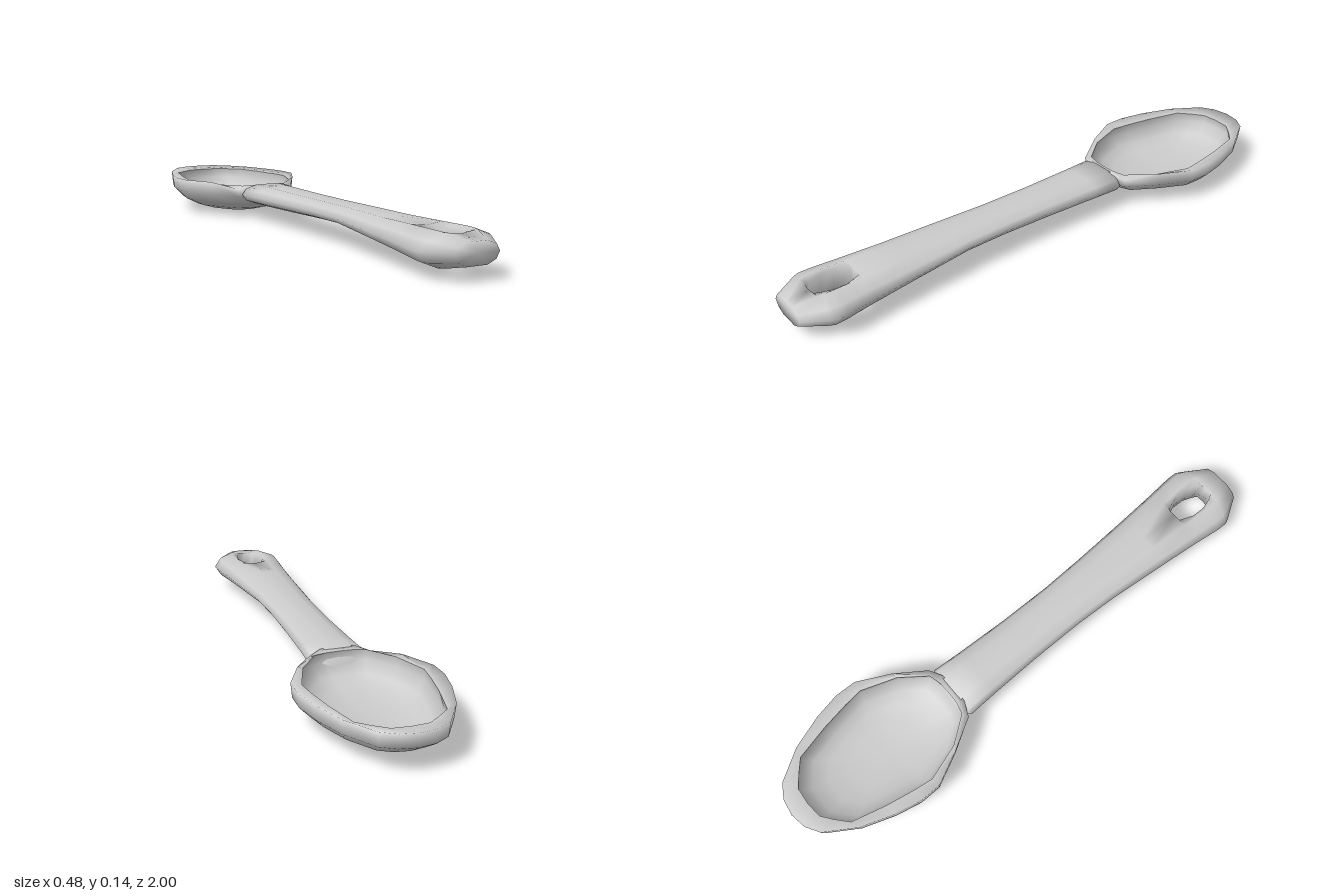
import * as THREE from 'three';
import { toCreasedNormals } from 'three/addons/utils/BufferGeometryUtils.js';

const material = new THREE.MeshStandardMaterial({ color: 0xcccccc });

// Skins series of closed rings as one smooth surface, leaving out faces
// of no area and faces hidden inside on the centre plane.
function loft(series, crease) {
  const out = [];
  const tri = (...p) => {
    const n = p[1].clone().sub(p[0]).cross(p[2].clone().sub(p[0]));
    if (n.length() < 1e-8 || p.every((v) => Math.abs(v.x) < 1e-6)) return;
    for (const v of p) out.push(v.x, v.y, v.z);
  };
  for (const rings of series) {
    for (let i = 0; i < rings.length - 1; i++) {
      const r = rings[i], s = rings[i + 1], n = r.length;
      for (let j = 0; j < n; j++) {
        const k = (j + 1) % n;
        tri(r[j], s[j], s[k]);
        tri(r[j], s[k], r[k]);
      }
    }
  }
  const g = new THREE.BufferGeometry();
  g.setAttribute('position', new THREE.Float32BufferAttribute(out, 3));
  return toCreasedNormals(g, crease);
}

function addMesh(group, name, geometry) {
  const mesh = new THREE.Mesh(geometry, material);
  mesh.name = name;
  group.add(mesh);
}

// Half outlines of the bowl from tip to neck: x, z, and how far the rim drops.
const outer = [[0, -1, 0], [0.06, -0.99, 0], [0.11, -0.96, 0], [0.18, -0.85, 0], [0.222, -0.73, 0],
  [0.242, -0.635, 0], [0.24, -0.555, 0], [0.18, -0.435, 0], [0.112, -0.325, 0.02],
  [0.06, -0.302, 0.003], [0, -0.3, 0.003]];
const inner = [[0, -0.935, 0], [0.06, -0.93, 0], [0.1, -0.9, 0], [0.145, -0.86, 0], [0.178, -0.73, 0],
  [0.196, -0.63, 0], [0.205, -0.56, 0], [0.16, -0.43, 0], [0.09, -0.338, 0],
  [0.045, -0.327, 0], [0, -0.325, 0]];

// A full ring made from a half outline, scaled about the middle of the bowl.
function bowlRing(half, scale, y) {
  const zc = -0.62;
  const mirrored = half.slice(1, -1).reverse().map(([x, z, d]) => [-x, z, d]);
  return [...half, ...mirrored].map(([x, z, d]) =>
    new THREE.Vector3(x * scale, scale === 1 ? y - d : y, zc + (z - zc) * scale));
}

// Handle stations: z, half width, bottom, top, hole half width.
const stations = [
  [-0.335, 0.07, 0.064, 0.076, 0],
  [-0.308, 0.106, 0.06, 0.134, 0],
  [-0.2, 0.1, 0.061, 0.134, 0],
  [0, 0.093, 0.065, 0.133, 0],
  [0.2, 0.092, 0.071, 0.133, 0],
  [0.37, 0.099, 0.074, 0.134, 0],
  [0.6, 0.116, 0.056, 0.134, 0],
  [0.755, 0.129, 0.043, 0.137, 0],
  [0.755, 0.129, 0.043, 0.137, 0.028],
  [0.81, 0.135, 0.038, 0.138, 0.049],
  [0.86, 0.14, 0.033, 0.139, 0.049],
  [0.9, 0.14, 0.03, 0.139, 0.036],
  [0.92, 0.13, 0.032, 0.137, 0.024],
  [0.92, 0.13, 0.032, 0.137, 0],
  [1, 0.08, 0.049, 0.12, 0],
  [1, 0, 0.085, 0.085, 0],
];

// One half of the handle; the two halves part around the hanging hole.
function handleHalf(side) {
  return stations.map(([z, w, bottom, top, hole]) => {
    const h = top - bottom;
    const dip = z > 0.7 && z < 0.95 ? 0.08 * h : 0;
    const mid = Math.max(hole && hole + 0.005, w * 0.45);
    const points = [
      [hole, top - dip], [mid, top], [w * 0.85, top - h * 0.2],
      [w, top - h * 0.48], [w * 0.84, top - h * 0.8],
      [mid, bottom], [hole, bottom + dip],
    ].map(([x, y]) => new THREE.Vector3(x * side, y, z));
    return side > 0 ? points : points.reverse();
  });
}

export function createModel() {
  const spoon = new THREE.Group();
  spoon.name = 'spoon';

  // Outside of the bowl, rolling over the rim
  const shell = [[0, 0], [0.15, 0.002], [0.41, 0.01], [0.64, 0.027],
    [0.83, 0.05], [0.98, 0.087], [1, 0.137]].map(([s, y]) => bowlRing(outer, s, y));
  addMesh(spoon, 'bowl', loft([[...shell, bowlRing(inner, 1, 0.128)]], 2.2));

  // Steep-sided hollow with a gently curved floor
  const hollow = [[1, 0.128], [1.02, 0.092], [0.88, 0.055], [0.7, 0.036],
    [0.45, 0.024], [0, 0.02]].map(([s, y]) => bowlRing(inner, s, y));
  addMesh(spoon, 'hollow', loft([hollow], 2));

  addMesh(spoon, 'handle', loft([handleHalf(1), handleHalf(-1)], 2));
  return spoon;
}
